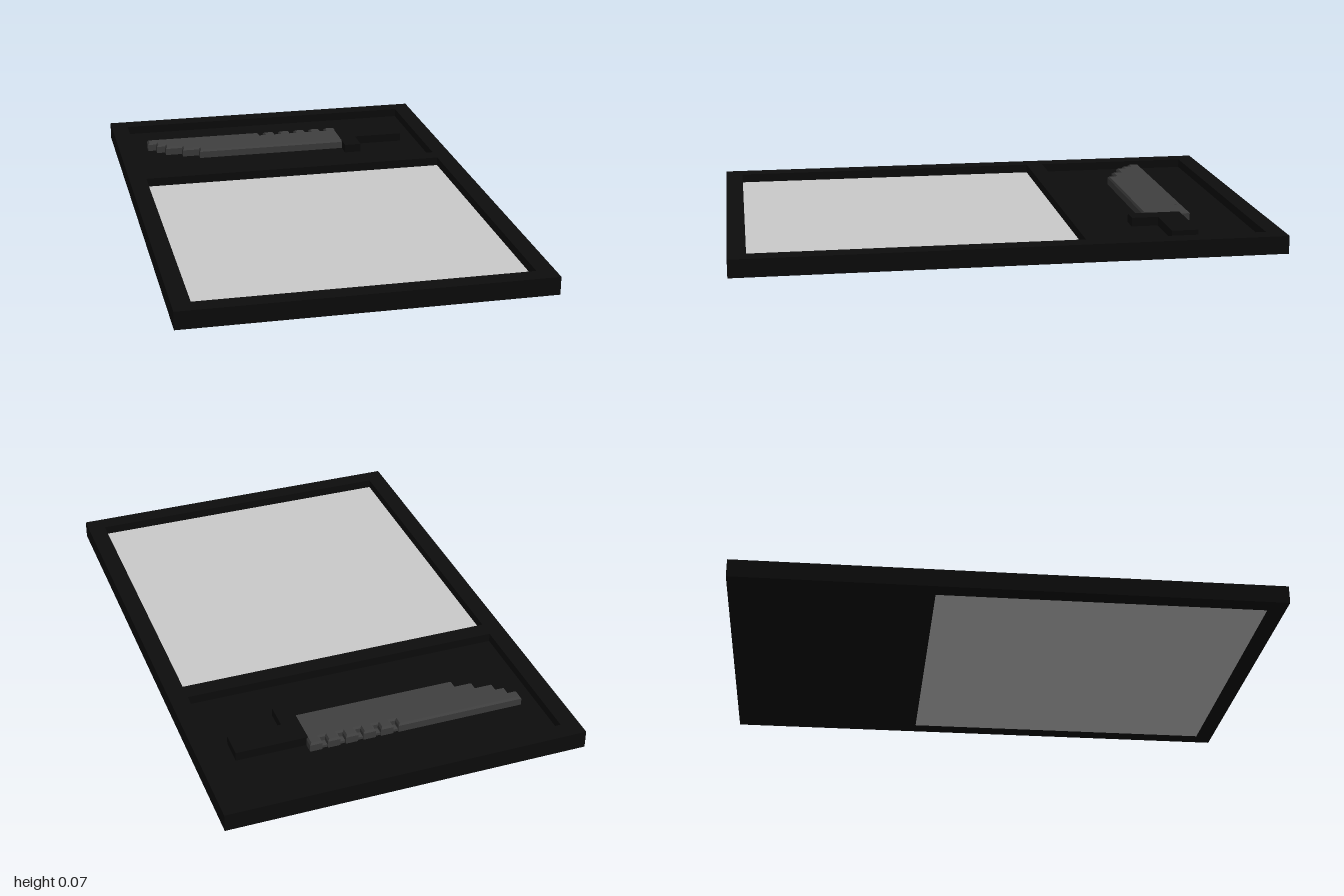
import * as THREE from 'three';

const U = 1 / 30; // grid step; all plan sizes below are in these steps

export function createModel() {
  const group = new THREE.Group();
  group.name = 'knifePlaque';
  const mat = (name, color) => {
    const m = new THREE.MeshStandardMaterial({ color });
    m.name = name;
    return m;
  };
  const black = mat('black', 0x0d0d0d);
  const steel = mat('darkGrey', 0x404040);
  const pale = mat('lightGrey', 0xcbcbcb);

  const add = (name, geometry, material) => {
    const mesh = new THREE.Mesh(geometry, material);
    mesh.name = name;
    group.add(mesh);
  };
  // Box from plan limits and heights
  const box = (name, x0, x1, y0, y1, z0, z1, material) => {
    const g = new THREE.BoxGeometry((x1 - x0) * U, (y1 - y0) * U, (z1 - z0) * U);
    g.translate((x0 + x1) / 2 * U, (y0 + y1) / 2 * U, (z0 + z1) / 2 * U);
    add(name, g, material);
  };
  const outline = (pts) => pts.map(([x, z]) => new THREE.Vector2(x * U, -z * U));
  const rect = (x0, x1, z0, z1) => outline([[x0, z0], [x0, z1], [x1, z1], [x1, z0]]);

  // Rim with one opening for the panel and one for the knife tray
  const rim = new THREE.Shape(rect(-20, 20, -30, 30));
  rim.holes.push(new THREE.Path(rect(-18, 18, -8, 28)));
  rim.holes.push(new THREE.Path(rect(-18, 18, -28, -10)));
  const rimGeo = new THREE.ExtrudeGeometry(rim, { depth: 2 * U, bevelEnabled: false });
  rimGeo.rotateX(-Math.PI / 2);
  add('frame', rimGeo, black);

  // Recessed floors
  box('panel', -18, 18, 0, 1, -8, 28, pale);
  box('trayFloor', -18, 18, 0, 1, -28, -10, black);

  // Stepped blade with a notched spine
  const pts = [[-16, -22], [-16, -21], [-15, -21], [-15, -20], [-14, -20], [-14, -19],
    [-12, -19], [-12, -18], [-10, -18], [-10, -17], [8, -17], [8, -22]];
  for (let x = 7; x > -3; x -= 2) pts.push([x, -22], [x, -21], [x - 1, -21], [x - 1, -22]);
  const bevel = 0.2 * U;
  const blade = new THREE.ExtrudeGeometry(new THREE.Shape(outline(pts)), {
    depth: 0.8 * U, bevelThickness: bevel, bevelSize: bevel, bevelSegments: 1,
  });
  blade.rotateX(-Math.PI / 2).translate(0, U, 0);
  add('blade', blade, steel);
  box('notchFloor', -2, 8, 1, 1.3, -22, -21, steel);

  // Guard and handle
  box('guard', 8, 10, 1, 2, -21, -15, black);
  box('handle', 10, 16, 1, 2, -21, -18, black);

  return group;
}
